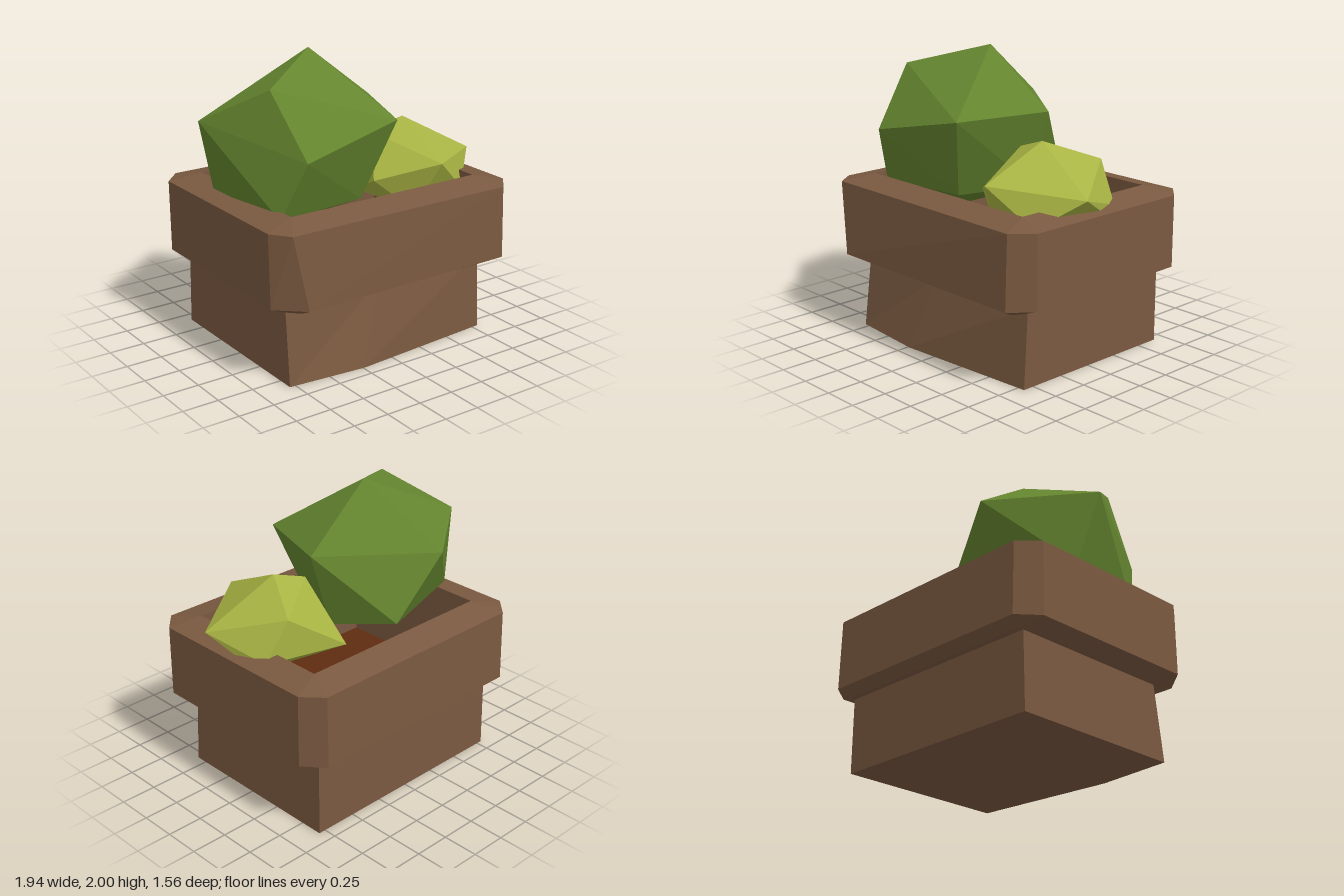
import * as THREE from 'three';
import { ConvexGeometry } from 'three/addons/geometries/ConvexGeometry.js';

const mat = (name, color) => {
  const m = new THREE.MeshStandardMaterial({ color, flatShading: true });
  m.name = name;
  return m;
};

// Skin a stack of rings, each { y, pts: [[x, z], ...] }, running back edge first, then +x side
function skin(rings) {
  const pos = [];
  const at = (ring, i) => {
    const [x, z, y = ring.y] = ring.pts[i % ring.pts.length];
    return [x, y, z];
  };
  for (let r = 0; r < rings.length - 1; r++) {
    for (let i = 0; i < rings[r].pts.length; i++) {
      const a = at(rings[r], i), b = at(rings[r], i + 1);
      const c = at(rings[r + 1], i), d = at(rings[r + 1], i + 1);
      pos.push(...a, ...c, ...b, ...b, ...c, ...d);
    }
  }
  return toGeometry(pos);
}

// Flat polygon facing up or down
function cap({ y, pts }, up) {
  const pos = [];
  for (let i = 1; i < pts.length - 1; i++) {
    const order = up ? [0, i + 1, i] : [0, i, i + 1];
    order.forEach(k => pos.push(pts[k][0], y, pts[k][1]));
  }
  return toGeometry(pos);
}

function toGeometry(pos) {
  const g = new THREE.BufferGeometry();
  g.setAttribute('position', new THREE.Float32BufferAttribute(pos, 3));
  g.computeVertexNormals();
  return g;
}

// Rectangle written as eight points so it can join a chamfered ring
function rect(x0, x1, z0, z1) {
  const bl = [x0, z0], br = [x1, z0], fr = [x1, z1], fl = [x0, z1];
  return [bl, br, br, fr, fr, fl, fl, bl];
}

const hull = points => new ConvexGeometry(points.map(p => new THREE.Vector3(...p)));

export function createModel() {
  const group = new THREE.Group();
  const brown = mat('clay brown', 0x7a5940);
  const earth = mat('soil', 0x5f2c10);
  const green = mat('leaf green', 0x64852f);
  const lime = mat('lime green', 0xa8b443);
  const add = (name, geometry, material) => {
    const mesh = new THREE.Mesh(geometry, material);
    mesh.name = name;
    group.add(mesh);
  };

  // Pot base with a slightly bulging front foot
  const foot = { y: 0, pts: [[-0.79, -0.66], [0.8, -0.66], [0.8, 0.58], [-0.24, 0.66], [-0.79, 0.61]] };
  const neck = { y: 0.53, pts: [[-0.78, -0.66], [0.8, -0.66], [0.8, 0.55], [-0.05, 0.55], [-0.78, 0.55]] };
  add('potBase', skin([foot, neck]), brown);
  add('potBottom', cap(foot, false), brown);

  // Chamfered rim with hollow middle
  const soilRing = { y: 0.5, pts: rect(-0.72, 0.74, -0.56, 0.54) };
  add('potRim', skin([
    { y: 0.52, pts: rect(-0.77, 0.79, -0.64, 0.54) },
    { y: 0.52, pts: [[-0.78, -0.7], [0.78, -0.7], [0.82, -0.64], [0.82, 0.62], [0.78, 0.68], [-0.74, 0.68], [-0.8, 0.62], [-0.8, -0.64]] },
    { y: 0.57, pts: [[-0.81, -0.78], [0.83, -0.78], [0.95, -0.64], [0.95, 0.62], [0.83, 0.77], [-0.75, 0.78], [-0.93, 0.62], [-0.93, -0.64]] },
    { y: 1.065, pts: [[-0.81, -0.77], [0.83, -0.77], [0.95, -0.64], [0.95, 0.62], [0.83, 0.755], [-0.84, 0.74], [-0.935, 0.61], [-0.935, -0.64]] },
    { y: 1.11, pts: soilRing.pts },
    soilRing,
  ]), brown);
  add('soil', cap({ y: 0.5, pts: [[-0.72, -0.56], [0.74, -0.56], [0.74, 0.54], [-0.72, 0.54]] }, true), earth);

  // Large faceted bush
  add('largeBush', hull([
    [-0.19, 2, -0.05], [-0.69, 1.85, 0.27], [-0.97, 1.605, -0.14], [-0.35, 1.6, -0.61],
    [0.325, 1.61, -0.09], [0.11, 1.59, 0.52], [-0.62, 1.44, 0.58], [-0.02, 1.17, -0.53],
    [-0.83, 1.11, -0.22], [-0.73, 1.05, 0.43], [-0.06, 1.05, 0.36], [0.17, 1.08, -0.1],
    [-0.3, 0.9, 0.08],
  ]), green);

  // Small faceted bush
  add('smallBush', hull([
    [0.47, 1.47, 0.11], [0.23, 1.39, 0.07], [0.66, 1.33, -0.24], [0.25, 1.05, -0.34],
    [0.82, 1.06, -0.2], [0.97, 1.19, 0.21], [0.89, 1.07, 0.0], [0.44, 1.25, 0.58],
    [0.1, 1.12, 0.29], [0.73, 1.0, 0.44], [0.15, 0.98, 0.0], [0.35, 0.9, 0.4], [0.52, 0.82, 0.08],
  ]), lime);

  return group;
}
